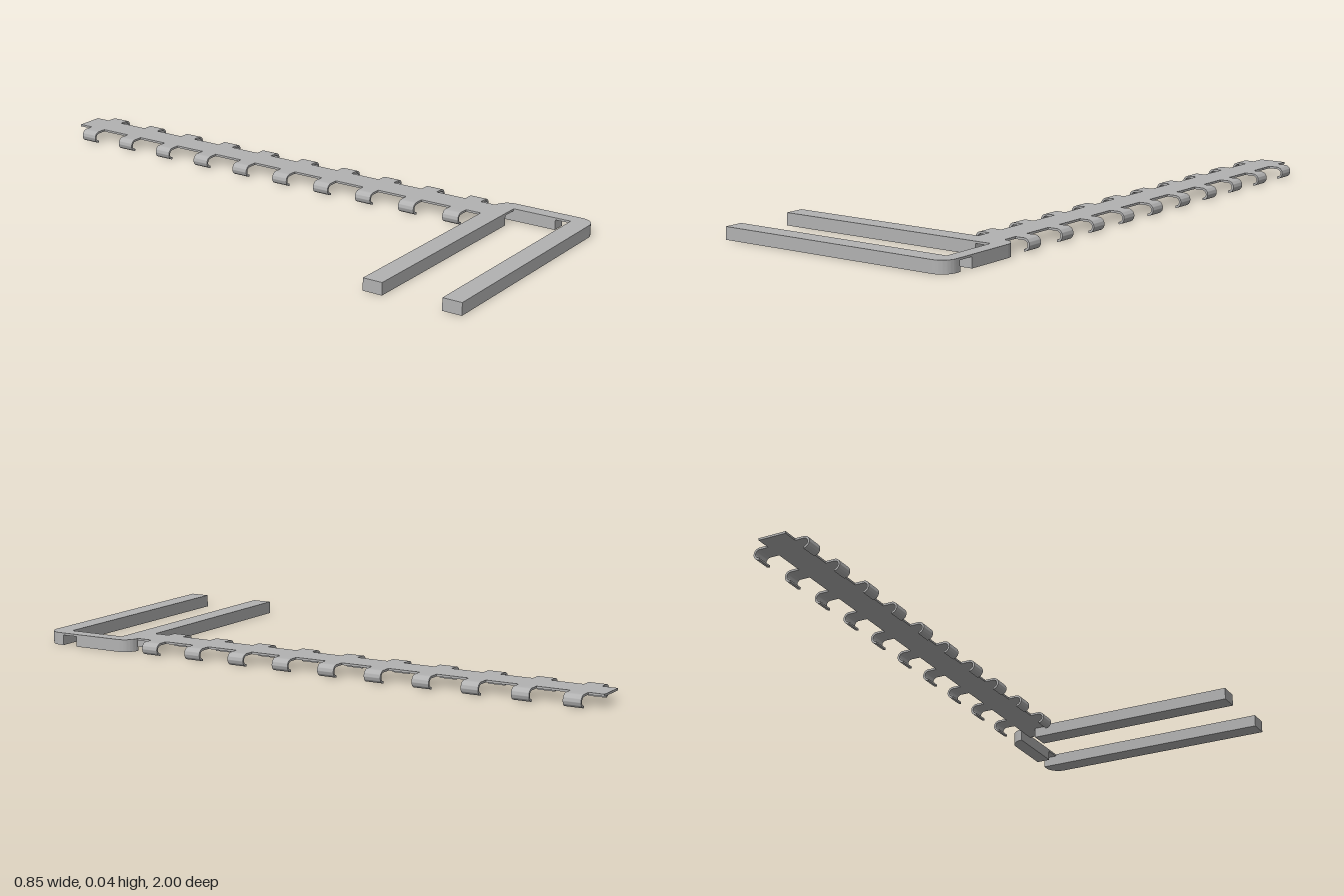
import * as THREE from 'three';
import { toCreasedNormals } from 'three/addons/utils/BufferGeometryUtils.js';

const HEIGHT = 0.041;  // full bar height
const SHEET = 0.007;   // sheet thickness
const STRAP_X = 0.322; // centre line of the strap

export function createModel() {
  const group = new THREE.Group();
  const steel = new THREE.MeshStandardMaterial({ color: 0xb2b2b2 });
  steel.name = 'grey steel';

  function add(name, geometry) {
    const mesh = new THREE.Mesh(toCreasedNormals(geometry, 0.6), steel);
    mesh.name = name;
    group.add(mesh);
    return mesh;
  }

  // A plan outline (x, z) extruded down from the top surface
  function slab(name, shape, depth) {
    const geometry = new THREE.ExtrudeGeometry(shape, { depth, bevelEnabled: false, curveSegments: 10 });
    geometry.rotateX(Math.PI / 2);
    geometry.translate(0, HEIGHT, 0);
    return add(name, geometry);
  }

  function rect(x0, x1, z0, z1) {
    return new THREE.Shape([[x0, z0], [x1, z0], [x1, z1], [x0, z1]].map(p => new THREE.Vector2(...p)));
  }

  // Front arm with rounded outer corner
  const front = new THREE.Shape();
  front.moveTo(-0.424, 0.934);
  front.lineTo(0.418, 0.934);
  front.lineTo(0.418, 0.95);
  front.absarc(0.368, 0.95, 0.05, 0, Math.PI / 2, false);
  front.lineTo(-0.424, 1);
  slab('frontArm', front, HEIGHT);

  // Cross piece with rounded rear corner
  const cross = new THREE.Shape();
  cross.moveTo(0.37, 0.88);
  cross.lineTo(0.37, 0.663);
  cross.absarc(0.37, 0.711, 0.048, -Math.PI / 2, 0, false);
  cross.lineTo(0.418, 0.88);
  slab('crossPiece', cross, HEIGHT);

  slab('rearArm', rect(-0.424, 0.315, 0.663, 0.73), HEIGHT);

  // Thin bridges over the bend gaps, and the long strap
  slab('frontBridge', rect(0.37, 0.418, 0.88, 0.934), SHEET);
  slab('rearBridge', rect(0.315, 0.37, 0.663, 0.73), SHEET);
  slab('strap', rect(0.274, 0.37, -1, 0.663), SHEET);

  // Curled tab: flat neck rolled over into a half-round hook
  const r = HEIGHT / 2;
  const hook = new THREE.Shape();
  hook.moveTo(0.046, HEIGHT);
  hook.lineTo(0.079, HEIGHT);
  hook.absarc(0.079, r, r, Math.PI / 2, -Math.PI / 2, true);
  hook.lineTo(0.079, SHEET);
  hook.absarc(0.079, r, r - SHEET, -Math.PI / 2, Math.PI / 2, false);
  hook.lineTo(0.046, HEIGHT - SHEET);
  const hookGeometry = new THREE.ExtrudeGeometry(hook, { depth: 0.058, bevelEnabled: false, curveSegments: 12 });
  hookGeometry.translate(0, 0, -0.029);

  for (let i = 0; i < 10; i++) {
    for (const side of [0, 1]) {
      const tab = add(side ? 'rightTab' : 'leftTab', hookGeometry);
      tab.rotation.y = side * Math.PI;
      tab.position.set(STRAP_X, 0, 0.58 - i * 0.1667);
    }
  }
  return group;
}
